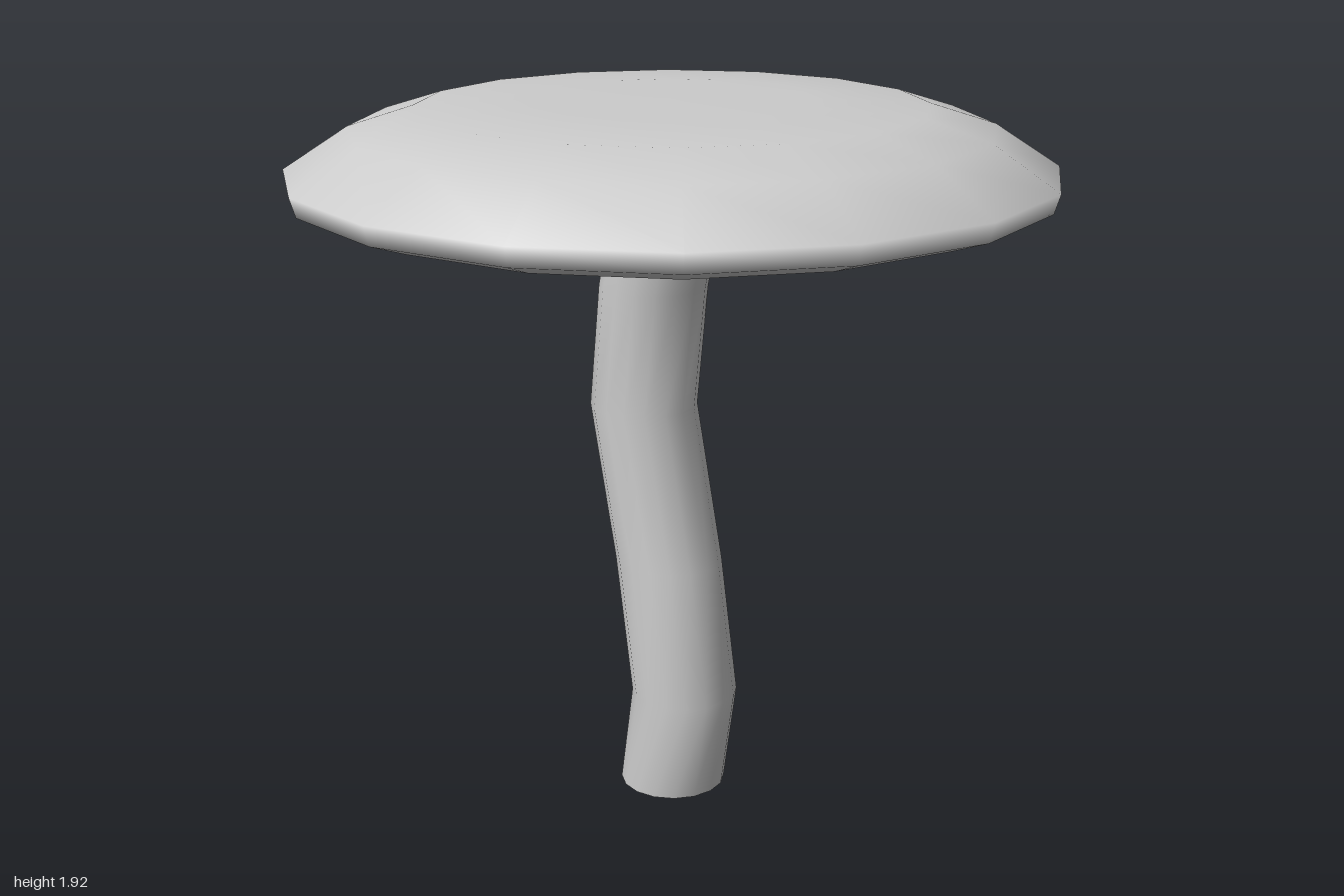
import * as THREE from 'three';
import { mergeVertices } from 'three/addons/utils/BufferGeometryUtils.js';

const SIDES = 16;

// Crooked stem: level rings whose centres follow [x, y] points, top first
function stemGeometry() {
  const centres = [[0, 1.71], [-0.07, 1.42], [-0.108, 1.085], [-0.015, 0.66], [0.045, 0.285], [0, 0]];
  let g = new THREE.CylinderGeometry(0.145, 0.145, 1, SIDES, centres.length - 1, true);
  const p = g.attributes.position;
  for (let i = 0; i < p.count; i++) {
    const [x, y] = centres[Math.floor(i / (SIDES + 1))];
    p.setX(i, p.getX(i) + x);
    p.setY(i, y);
  }
  // weld the seam so the shading is continuous
  g.deleteAttribute('uv');
  g.deleteAttribute('normal');
  g = mergeVertices(g);
  g.computeVertexNormals();
  return g;
}

// Flattened cap: shallow underside, rounded rim, nearly flat top
function capGeometry() {
  const profile = [
    [0.135, 1.7], [0.88, 1.655], [0.985, 1.69], [1, 1.74],
    [0.83, 1.85], [0.66, 1.903], [0.37, 1.916], [0, 1.917],
  ].map(([r, y]) => new THREE.Vector2(r, y));
  return new THREE.LatheGeometry(profile, SIDES);
}

export function createModel() {
  const model = new THREE.Group();
  model.name = 'mushroom';
  const material = new THREE.MeshStandardMaterial({ color: 0xcccccc, side: THREE.DoubleSide });
  const add = (name, geometry) => {
    const mesh = new THREE.Mesh(geometry, material);
    mesh.name = name;
    model.add(mesh);
  };
  add('stem', stemGeometry());
  add('cap', capGeometry());
  return model;
}
